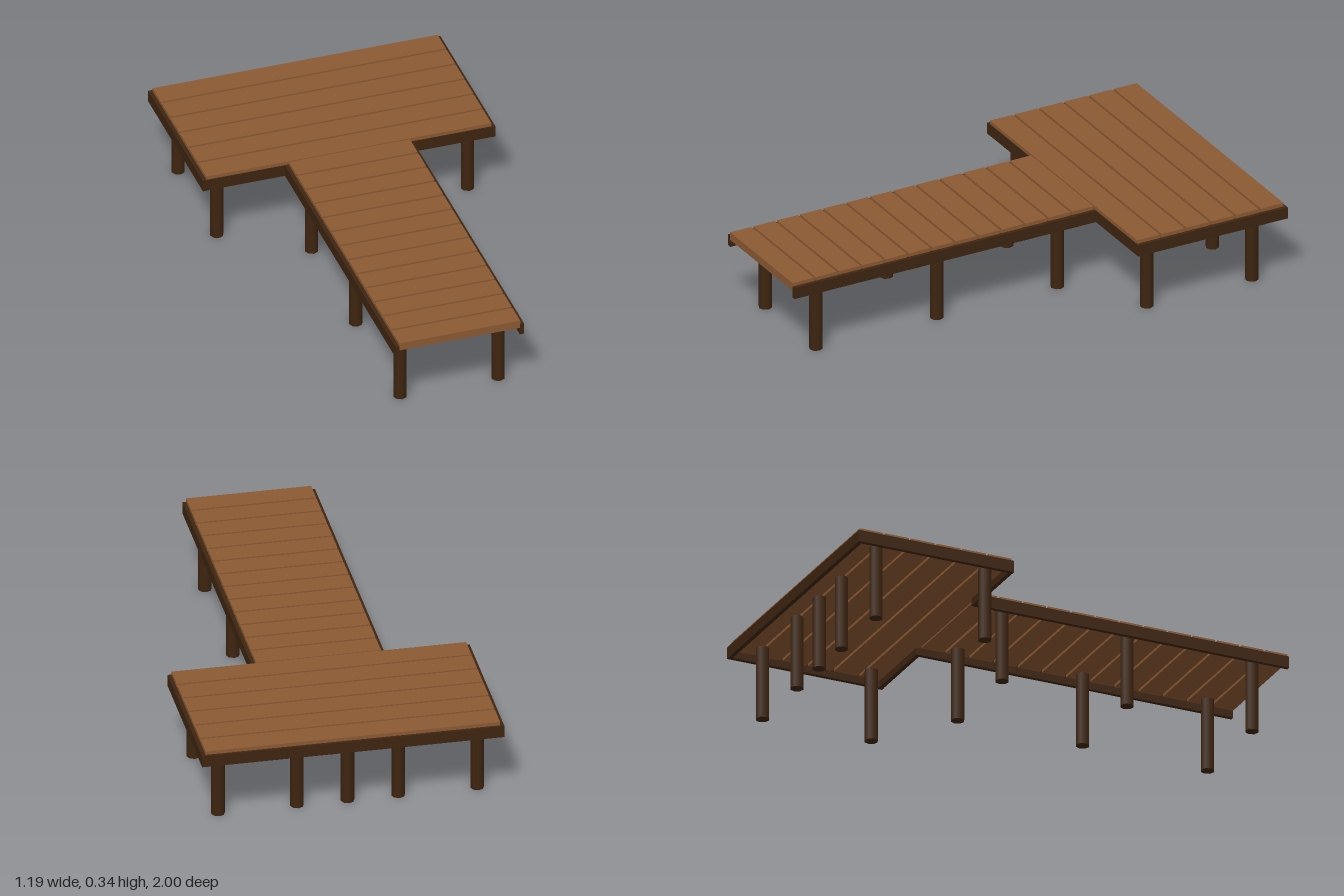
import * as THREE from 'three';

export function createModel() {
  const plankWood = new THREE.MeshStandardMaterial({ color: 0x8b5a33 });
  plankWood.name = 'plank brown';
  const frameWood = new THREE.MeshStandardMaterial({ color: 0x3e2511 });
  frameWood.name = 'dark frame brown';

  const model = new THREE.Group();
  model.name = 'pier';
  const group = (name) => {
    const g = new THREE.Group();
    g.name = name;
    model.add(g);
    return g;
  };
  // Box given by its limits on each axis
  const box = (parent, name, material, x0, x1, y0, y1, z0, z1) => {
    const mesh = new THREE.Mesh(new THREE.BoxGeometry(x1 - x0, y1 - y0, z1 - z0), material);
    mesh.position.set((x0 + x1) / 2, (y0 + y1) / 2, (z0 + z1) / 2);
    mesh.name = name;
    parent.add(mesh);
  };

  // Deck boards with open gaps between them
  const gap = 0.01;
  const boards = (parent, halfWidth, front, pitch, count) => {
    for (let i = 0; i < count; i++) {
      const z1 = front - i * pitch;
      box(parent, 'plank', plankWood, -halfWidth, halfWidth, 0.302, 0.335, z1 - pitch + gap, z1);
    }
  };
  boards(group('walkwayPlanks'), 0.247, 1, 0.1034, 13);
  boards(group('platformPlanks'), 0.582, -0.34, 0.11, 6);

  // Fascia beams around the deck edge
  const beams = group('edgeBeams');
  const beam = (name, x0, x1, z0, z1) => box(beams, name, frameWood, x0, x1, 0.272, 0.32, z0, z1);
  for (const s of [-1, 1]) {
    const side = (name, a, b, z0, z1) => beam(name, Math.min(s * a, s * b), Math.max(s * a, s * b), z0, z1);
    side('walkwaySideBeam', 0.245, 0.262, -0.34, 1);
    side('platformSideBeam', 0.58, 0.597, -1, -0.336);
    side('platformFrontBeam', 0.247, 0.582, -0.354, -0.337);
  }
  beam('platformBackBeam', -0.597, 0.597, -1, -0.983);

  // Support posts
  const posts = group('posts');
  const postShape = new THREE.CylinderGeometry(0.027, 0.027, 0.303, 8);
  const post = (x, z) => {
    const mesh = new THREE.Mesh(postShape, frameWood);
    mesh.position.set(x, 0.1515, z);
    mesh.name = 'post';
    posts.add(mesh);
  };
  for (const s of [-1, 1]) {
    for (const z of [0.87, 0.335, -0.2, -0.888]) post(s * 0.2, z);
    for (const z of [-0.422, -0.888]) post(s * 0.512, z);
  }
  post(0, -0.888);

  return model;
}
